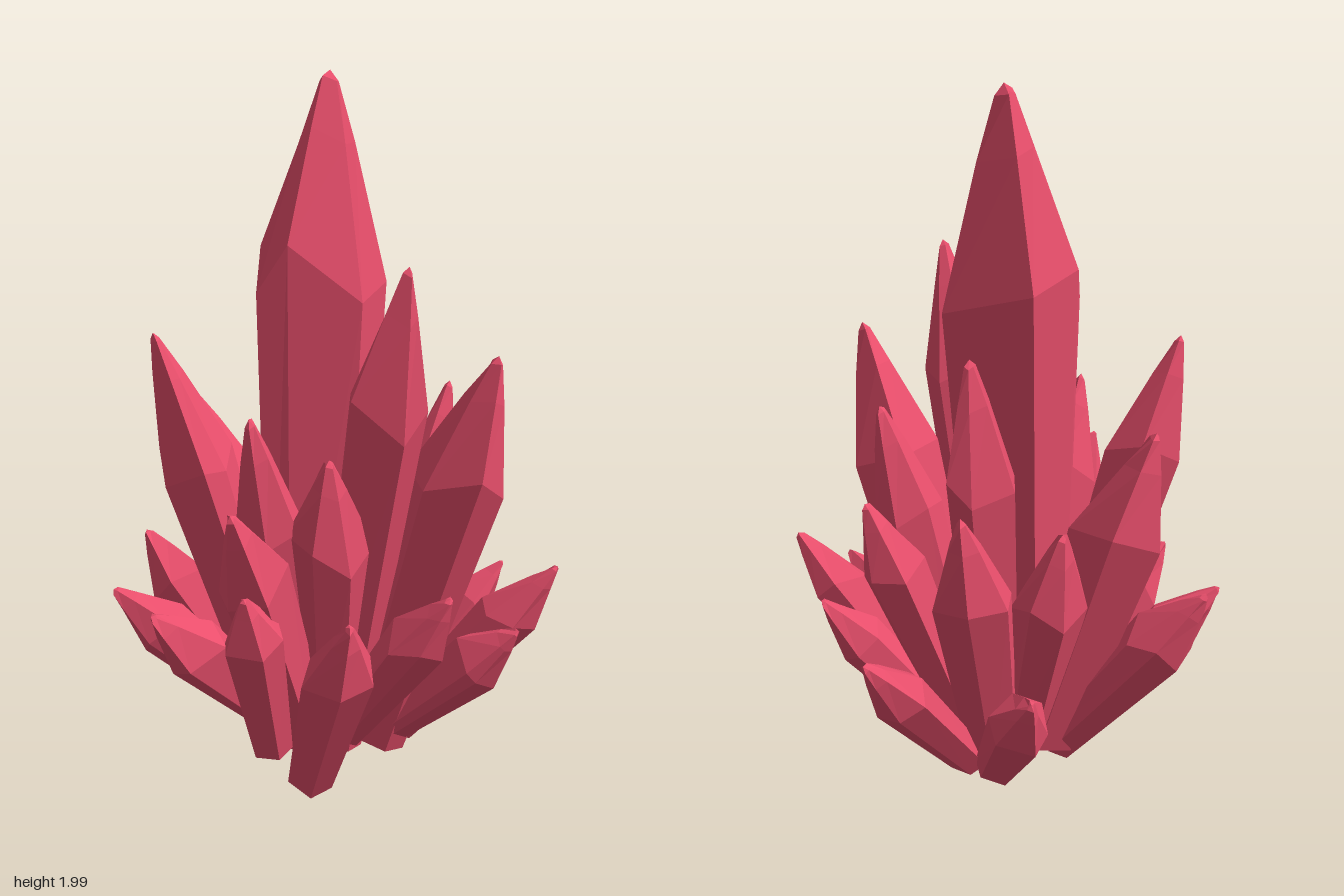
import * as THREE from 'three';

const material = new THREE.MeshStandardMaterial({ color: 0xe84e6b, flatShading: true });

// Small seeded generator for facet variation
function seeded(seed) {
  let s = seed * 7919 + 13;
  return () => (s = (s * 16807) % 2147483647) / 2147483647;
}

// Six uneven facet edges: [angle, radius factor, shoulder height shift]
function unevenFacets(seed) {
  const rand = seeded(seed);
  rand(); rand();
  const spin = rand() * Math.PI;
  return Array.from({ length: 6 }, (_, i) => [
    spin + (i + (rand() - 0.5) * 0.55) * Math.PI / 3,
    0.92 + rand() * 0.2,
    (rand() - 0.5) * 0.11,
  ]);
}

// Faceted crystal: narrow foot, wide uneven shoulder, long bevel, chisel tip
function crystal(tip, foot, radius, facets) {
  const sides = facets.length;
  const a = new THREE.Vector3(...foot), b = new THREE.Vector3(...tip);
  const axis = b.clone().sub(a), length = axis.length();
  axis.normalize();
  const u = new THREE.Vector3(0, 0, 1).addScaledVector(axis, -axis.z).normalize();
  const v = new THREE.Vector3().crossVectors(axis, u);
  // [height fraction, radius fraction, share of shoulder shift, ridge stretch]
  const rings = [[0, 0.68, 0, 0], [0.7, 1, 1, 0], [0.9, 0.37, 0.3, 0.1], [0.985, 0.05, 0.1, 0.16]];
  const pos = [], index = [];
  for (const [t, r, share, ridge] of rings) {
    for (const [angle, factor, shift] of facets) {
      const reach = radius * factor * (r + ridge * Math.abs(Math.cos(angle + 0.6)));
      const p = a.clone().addScaledVector(axis, length * (t + shift * share));
      p.addScaledVector(u, Math.cos(angle) * reach).addScaledVector(v, Math.sin(angle) * reach);
      pos.push(p.x, p.y, p.z);
    }
  }
  pos.push(...foot, ...tip);
  const footId = rings.length * sides, last = footId - sides;
  for (let i = 0; i < sides; i++) {
    const j = (i + 1) % sides;
    for (let k = 0; k < last; k += sides) {
      index.push(k + i, k + j, k + sides + j, k + i, k + sides + j, k + sides + i);
    }
    index.push(footId, j, i, footId + 1, last + i, last + j);
  }
  const indexed = new THREE.BufferGeometry();
  indexed.setAttribute('position', new THREE.Float32BufferAttribute(pos, 3));
  indexed.setIndex(index);
  const geometry = indexed.toNonIndexed();
  geometry.computeVertexNormals();
  return new THREE.Mesh(geometry, material);
}

// Broad, irregular panels of the central spire (degrees)
const spireFacets = [
  [-5, 1.05, -0.04], [90, 0.93, -0.01], [168, 0.99, 0.03],
  [229, 0.86, 0.04], [275, 1.06, -0.03], [299, 0.95, 0.04],
].map(([deg, factor, shift]) => [deg * Math.PI / 180, factor, shift]);

// Each row: tip x, y, z, radius, foot height, optional foot x and z
const tiers = {
  tallCrystals: [
    [0.0, 1.52, 0.39, 0.11, 0.12, -0.04, 0.1],
    [0.23, 1.28, 0.47, 0.135, 0.13],
    [0.28, 1.34, -0.33, 0.105, 0.12],
    [-0.45, 1.3, -0.2, 0.11, 0.15],
    [-0.35, 1.12, 0.17, 0.105, 0.15],
    [0.35, 1.13, 0.08, 0.1, 0.15],
    [0.36, 0.96, -0.43, 0.105, 0.12],
    [-0.25, 1.09, -0.39, 0.13, 0.12],
    [-0.19, 1.02, 0.31, 0.11, 0.15],
  ],
  middleCrystals: [
    [0.05, 0.86, -0.41, 0.1, 0.12],
    [-0.46, 0.9, 0.27, 0.1, 0.15],
    [0.43, 0.88, 0.01, 0.09, 0.14],
    [-0.45, 0.69, 0.32, 0.085, 0.18, -0.29, 0.17],
    [0.46, 0.66, 0.46, 0.085, 0.13],
    [0.07, 0.65, 0.5, 0.085, 0.17, -0.05, 0.15],
    [-0.36, 0.64, -0.49, 0.095, 0.1, -0.1, -0.12],
    [-0.24, 0.63, 0.5, 0.095, 0.04, -0.16, 0.15],
  ],
  lowCrystals: [
    [-0.59, 0.58, 0.05, 0.095, 0.18],
    [0.59, 0.57, -0.33, 0.085, 0.1],
    [0.52, 0.57, 0.13, 0.08, 0.14],
    [-0.56, 0.55, -0.28, 0.09, 0.17],
    [0.26, 0.54, 0.55, 0.08, 0.18, 0.08, 0.2],
    [0.22, 0.47, -0.55, 0.085, 0.1, 0.13, -0.18],
  ],
};

export function createModel() {
  const model = new THREE.Group();
  model.name = 'crystalCluster';

  // Central spire
  const spire = crystal([0.08, 2, -0.14], [-0.08, 0.14, 0.05], 0.22, spireFacets);
  spire.name = 'centralSpire';
  model.add(spire);

  // Surrounding tiers leaning outward from the root
  let seed = 20;
  for (const [name, rows] of Object.entries(tiers)) {
    const tier = new THREE.Group();
    tier.name = name;
    rows.forEach(([x, y, z, radius, footY, footX = x * 0.3, footZ = z * 0.3], i) => {
      const mesh = crystal([x, y, z], [footX, footY, footZ], radius, unevenFacets(seed++));
      mesh.name = `${name.slice(0, -1)}${i + 1}`;
      tier.add(mesh);
    });
    model.add(tier);
  }
  return model;
}
